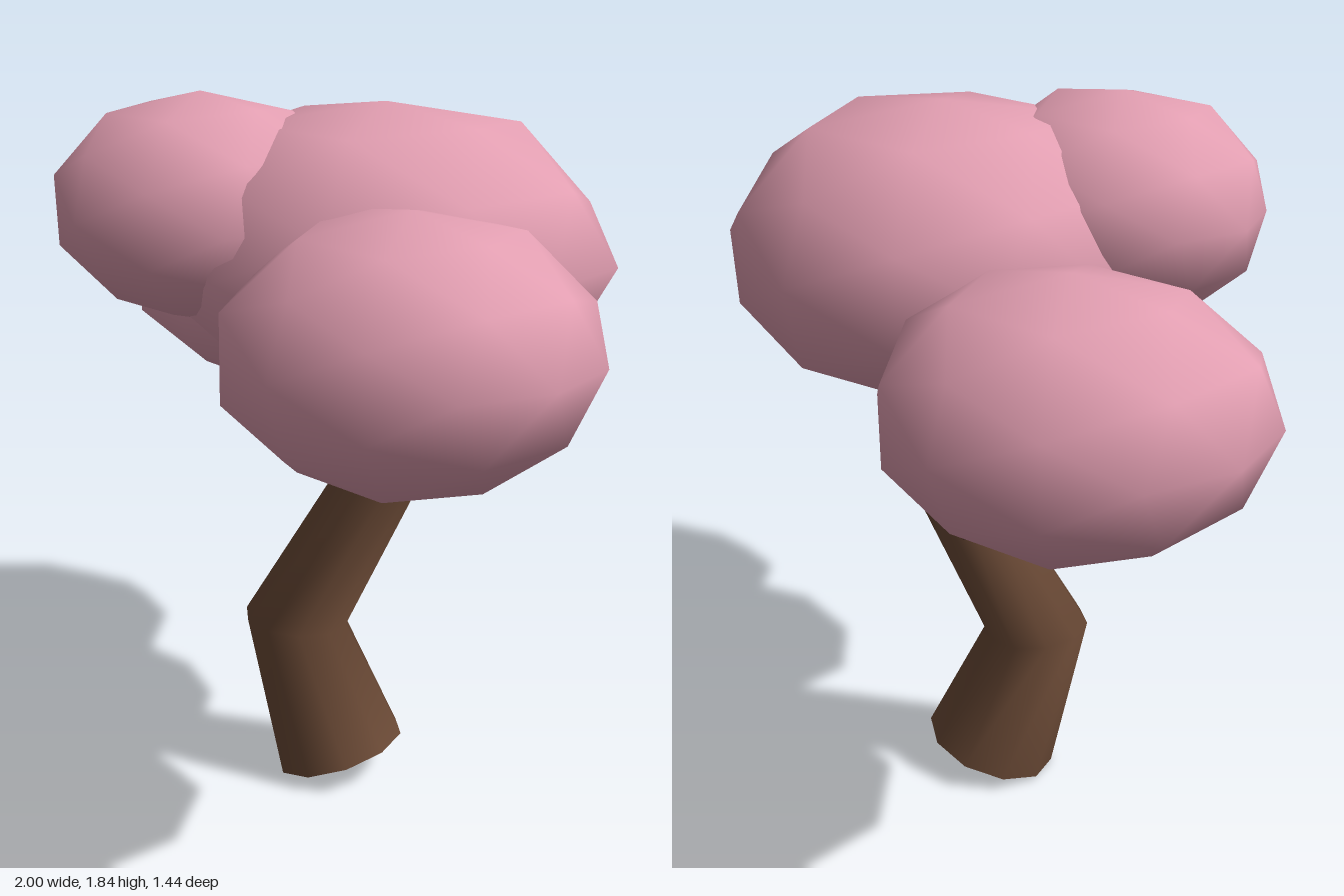
import * as THREE from 'three';
import { mergeVertices } from 'three/addons/utils/BufferGeometryUtils.js';

const bark = new THREE.MeshStandardMaterial({ color: 0x6b4a36, side: THREE.DoubleSide });
bark.name = 'bark brown';
const blossom = new THREE.MeshStandardMaterial({ color: 0xe39fb2 });
blossom.name = 'blossom pink';

// Open tapered limb: rings of [x, y, z, radius], each square to the bend at its point
function limb(name, rings, sides = 10) {
  const pts = rings.map(r => new THREE.Vector3(r[0], r[1], r[2]));
  const pos = [], index = [];
  rings.forEach((ring, i) => {
    const t = new THREE.Vector3();
    if (i > 0) t.add(pts[i].clone().sub(pts[i - 1]).normalize());
    if (i < pts.length - 1) t.add(pts[i + 1].clone().sub(pts[i]).normalize());
    t.normalize();
    const u = new THREE.Vector3().crossVectors(t, new THREE.Vector3(0, 0, 1)).normalize();
    const v = new THREE.Vector3().crossVectors(u, t);
    for (let k = 0; k < sides; k++) {
      const a = (k / sides) * Math.PI * 2;
      const p = pts[i].clone()
        .addScaledVector(u, Math.cos(a) * ring[3])
        .addScaledVector(v, Math.sin(a) * ring[3]);
      pos.push(p.x, p.y, p.z);
      if (i > 0) {
        const n = (k + 1) % sides, b = (i - 1) * sides, c = i * sides;
        index.push(b + k, c + k, b + n, b + n, c + k, c + n);
      }
    }
  });
  const g = new THREE.BufferGeometry();
  g.setAttribute('position', new THREE.Float32BufferAttribute(pos, 3));
  g.setIndex(index);
  g.computeVertexNormals();
  const mesh = new THREE.Mesh(g, bark);
  mesh.name = name;
  return mesh;
}

// Smooth, coarse ball of foliage; bulges (or dents, if negative) are
// [dx, dy, dz, amount], capped to the ball's box
function cloud(name, center, radii, bulges) {
  let g = new THREE.IcosahedronGeometry(1, 1);
  g.deleteAttribute('normal');
  g.deleteAttribute('uv');
  g = mergeVertices(g, 1e-3);
  const p = g.attributes.position, v = new THREE.Vector3();
  for (let i = 0; i < p.count; i++) {
    v.fromBufferAttribute(p, i);
    let swell = 1;
    for (const [x, y, z, amount] of bulges) {
      const facing = v.dot(new THREE.Vector3(x, y, z).normalize());
      swell += amount * Math.max(0, facing) ** 10;
    }
    v.multiplyScalar(swell).clampScalar(-1, 1);
    p.setXYZ(i, v.x, v.y, v.z);
  }
  g.scale(...radii);
  g.computeVertexNormals();
  const mesh = new THREE.Mesh(g, blossom);
  mesh.name = name;
  mesh.position.set(...center);
  return mesh;
}

export function createModel() {
  const tree = new THREE.Group();
  tree.name = 'blossomTree';

  // Crooked trunk and its two side branches
  tree.add(limb('trunk', [
    [-0.02, 0.055, 0.01, 0.177],
    [-0.12, 0.43, 0.08, 0.138],
    [0.055, 0.84, -0.06, 0.104],
    [0.13, 1.22, -0.04, 0.075],
  ]));
  tree.add(limb('rightBranch', [[0, 0.75, -0.065, 0.068], [-0.315, 1.03, -0.185, 0.06]], 8));
  tree.add(limb('leftBranch', [[0.085, 0.93, 0.02, 0.077], [0.42, 1.14, 0.22, 0.065]], 8));

  // Foliage
  tree.add(cloud('rightFoliage', [-0.53, 1.265, -0.275], [0.47, 0.32, 0.445],
    [[-0.7, 0.7, 0, 0.1], [0.45, -0.9, 0, 0.08], [0, 0.8, -0.6, 0.05],
      [-0.55, 0, 0.83, 0.06], [0.8, 0, -0.55, -0.04]]));
  tree.add(cloud('crownFoliage', [0.14, 1.452, 0], [0.55, 0.367, 0.53],
    [[0, 0.8, 0.6, 0.1], [0, 0.8, -0.6, 0.08], [0.5, 0.85, 0, 0.05], [-0.5, 0.85, 0, 0.05],
      [0, 0.5, -0.85, -0.03], [0, -0.5, -0.85, 0.06], [0.9, 0, -0.45, 0.05]]));
  tree.add(cloud('frontFoliage', [-0.175, 1.56, 0.315], [0.39, 0.28, 0.37],
    [[0.85, 0, 0.5, 0.14], [0, 0.6, 0.8, 0.06], [0.6, 0.8, 0, 0.06], [-0.3, -0.95, 0, 0.04],
      [-0.8, 0, 0.55, -0.06], [0, -0.7, 0.7, -0.06]]));
  tree.add(cloud('leftFoliage', [0.57, 1.34, 0.315], [0.43, 0.312, 0.405],
    [[-0.5, 0, 0.86, 0.1], [0.5, 0, -0.87, 0.08], [0, 0.9, -0.45, 0.06],
      [-0.45, 0.9, 0, 0.07], [0, -0.75, 0.66, 0.06], [-0.55, -0.83, 0, 0.04]]));
  return tree;
}
